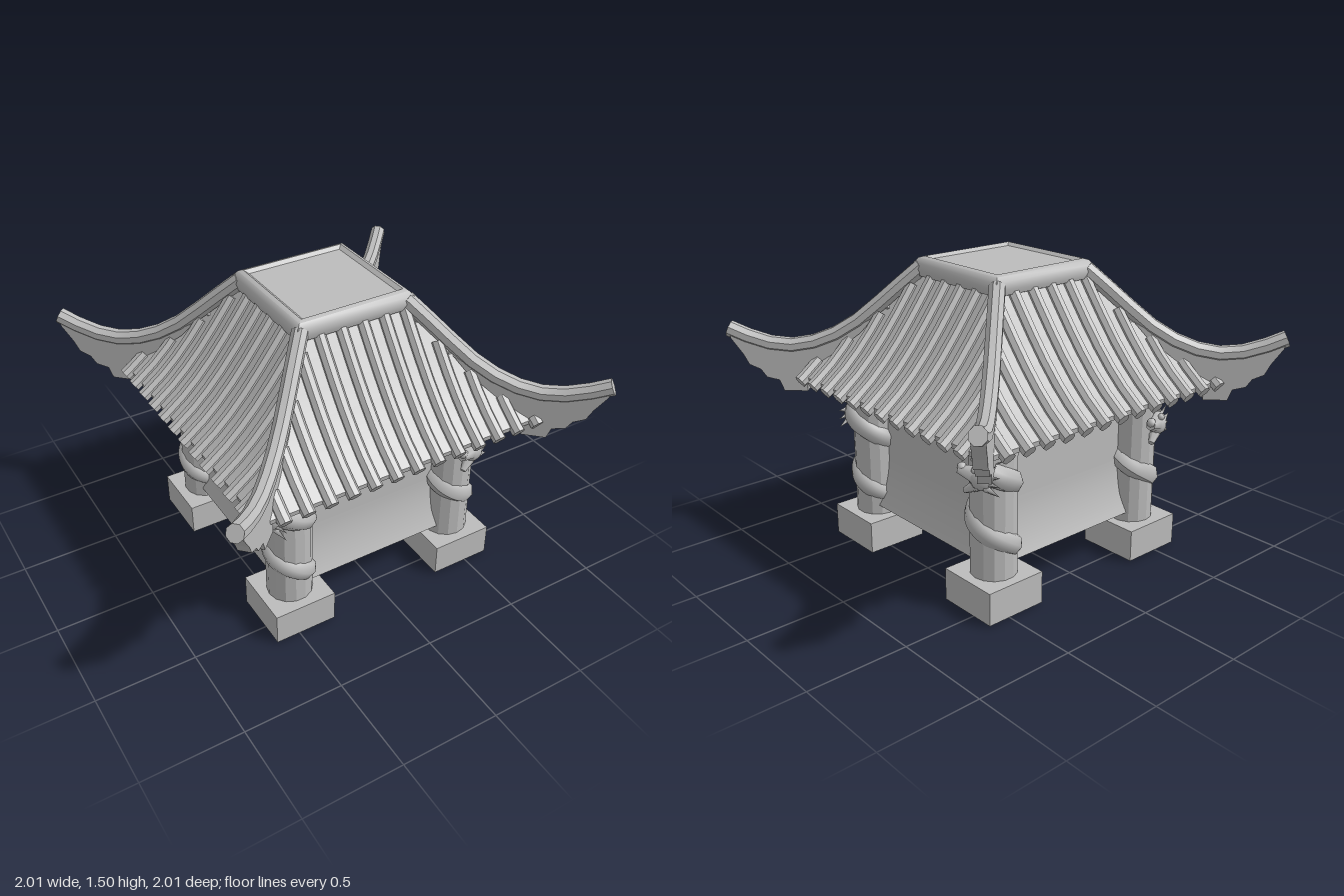
import * as THREE from 'three';
import { toCreasedNormals } from 'three/addons/utils/BufferGeometryUtils.js';

const stone = new THREE.MeshStandardMaterial({ color: 0xbcbcbc, side: THREE.DoubleSide });
stone.name = 'grey stone';
const R2 = Math.SQRT2;

function add(parent, name, geometry, x = 0, y = 0, z = 0) {
  const mesh = new THREE.Mesh(geometry, stone);
  mesh.name = name;
  mesh.position.set(x, y, z);
  parent.add(mesh);
  return mesh;
}

// Square body of revolution from [half width, y] pairs, bottom to top.
function squareLathe(profile) {
  const pts = profile.map(([h, y]) => new THREE.Vector2(h * R2, y));
  return toCreasedNormals(new THREE.LatheGeometry(pts, 4, Math.PI / 4), 0.6);
}

// Sweeps a section [side, up] along a path [outward z, y]; closed at both ends.
function sweep(path, section) {
  const rings = path.map(([z, y], i) => {
    const a = path[Math.max(i - 1, 0)], b = path[Math.min(i + 1, path.length - 1)];
    const len = Math.hypot(b[0] - a[0], b[1] - a[1]);
    const dz = (b[0] - a[0]) / len, dy = (b[1] - a[1]) / len;
    return section.map(([s, u]) => [s, y + u * dz, z - u * dy]);
  });
  const n = section.length, last = rings.length - 1, pos = [];
  const tri = (...corners) => corners.forEach((c) => pos.push(...c));
  for (let i = 0; i < last; i++) {
    for (let j = 0; j < n; j++) {
      const k = (j + 1) % n, A = rings[i], B = rings[i + 1];
      tri(A[j], A[k], B[j]);
      tri(A[k], B[k], B[j]);
    }
  }
  for (let j = 1; j < n - 1; j++) {
    tri(rings[last][0], rings[last][j], rings[last][j + 1]);
    tri(rings[0][0], rings[0][j + 1], rings[0][j]);
  }
  const g = new THREE.BufferGeometry();
  g.setAttribute('position', new THREE.Float32BufferAttribute(pos, 3));
  g.computeVertexNormals();
  return toCreasedNormals(g, 0.7);
}

// Concave roof slope: [distance from centre, y]
const slope = [[0.27, 1.43], [0.34, 1.335], [0.42, 1.23], [0.5, 1.132], [0.58, 1.045], [0.66, 0.97], [0.75, 0.9], [0.78, 0.88]];

function slopeY(h) {
  const i = Math.max(1, slope.findIndex((p) => p[0] >= h));
  const [a, b] = [slope[i - 1], slope[i]];
  return a[1] + ((b[1] - a[1]) * (h - a[0])) / (b[0] - a[0]);
}

// Tile ribs of one roof side, trimmed at the hips
function tileRibs() {
  const side = new THREE.Group();
  side.name = 'tileRibs';
  const section = [[0, -0.038], [0.03, -0.015], [0.03, 0.01], [0.013, 0.03], [-0.013, 0.03], [-0.03, 0.01], [-0.03, -0.015]];
  for (let i = -6; i <= 6; i++) {
    const x = 0.04 + i * 0.1145;
    const start = Math.max(0.28, Math.abs(x) + 0.015);
    const path = [[start, slopeY(start)], ...slope.filter((p) => p[0] > start + 0.015)];
    add(side, 'tileRib', sweep(path, section), x, 0, 0);
  }
  return side;
}

// Upswept hip ridge with a scalloped bracket, built along +z
function hipRidge() {
  const corner = new THREE.Group();
  corner.name = 'hipCorner';
  const path = [[0.28, 1.455], [0.35, 1.37], [0.43, 1.27], [0.51, 1.175], [0.59, 1.105], [0.67, 1.06],
    [0.75, 1.04], [0.83, 1.05], [0.91, 1.085], [0.975, 1.125]].map(([x, y]) => [x * R2, y]);
  const section = [];
  for (let i = 0; i < 8; i++) {
    const a = ((i + 0.5) * Math.PI) / 4;
    section.push([0.04 * Math.cos(a), 0.042 * Math.sin(a)]);
  }
  add(corner, 'hipRidge', sweep(path, section));

  // web under the ridge, running out into the bracket
  const outline = [[0.45, 1.2], [0.5, 1.12], [0.6, 1.01], [0.7, 0.92], [0.7, 0.81], [0.785, 0.81],
    [0.8, 0.865], [0.845, 0.88], [0.865, 0.92], [0.905, 0.945], [0.925, 1.0], [0.965, 1.08], [0.97, 1.11],
    [0.9, 1.075], [0.75, 1.03], [0.6, 1.09]];
  const shape = new THREE.Shape(outline.map(([x, y]) => new THREE.Vector2(x * R2, y)));
  const bracket = new THREE.ExtrudeGeometry(shape, { depth: 0.06, bevelEnabled: false });
  bracket.translate(0, 0, -0.03).rotateY(-Math.PI / 2);
  add(corner, 'eaveBracket', bracket);
  return corner;
}

// Coiled dragon body: a tube that thins toward the tail
function coil() {
  const pts = [];
  for (let deg = -210; deg <= 410; deg += 20) {
    const a = (deg * Math.PI) / 180;
    const lift = Math.max(0, (deg - 320) / 80) * 0.02;
    pts.push(new THREE.Vector3((0.078 + lift) * Math.cos(a), 0.35 + (deg / 90) * 0.078, (0.078 + lift) * Math.sin(a)));
  }
  const curve = new THREE.CatmullRomCurve3(pts);
  const g = new THREE.TubeGeometry(curve, 90, 0.058, 8);
  const p = g.attributes.position, v = new THREE.Vector3();
  for (let i = 0; i < p.count; i++) {
    const t = Math.floor(i / 9) / 90;
    const c = curve.getPointAt(t);
    v.fromBufferAttribute(p, i).sub(c).multiplyScalar(Math.min(1, 0.45 + t * 2)).add(c);
    p.setXYZ(i, v.x, v.y, v.z);
  }
  g.computeVertexNormals();
  return g;
}

// Dragon head: +z is forward, +x faces away from the column
function dragonHead() {
  const head = new THREE.Group();
  head.name = 'dragonHead';
  add(head, 'skull', new THREE.SphereGeometry(0.06, 10, 7)).scale.set(0.85, 1, 1.1);
  const snout = new THREE.CylinderGeometry(0.024, 0.048, 0.1, 6).rotateX(Math.PI / 2);
  add(head, 'snout', snout, 0, 0.015, 0.065).rotation.x = -0.2;
  add(head, 'nose', new THREE.SphereGeometry(0.024, 8, 6), 0, 0.035, 0.1);
  const jaw = new THREE.CylinderGeometry(0.014, 0.036, 0.1, 6).rotateX(Math.PI / 2);
  add(head, 'jaw', jaw, 0, -0.05, 0.045).rotation.x = 0.55;
  for (const s of [-1, 1]) {
    add(head, 'brow', new THREE.SphereGeometry(0.018, 6, 5), s * 0.028, 0.045, 0.025);
    const horn = add(head, 'horn', new THREE.ConeGeometry(0.012, 0.09, 5), s * 0.022, 0.06, -0.045);
    horn.rotation.set(-1.1, 0, -s * 0.15);
    for (let i = 0; i < 3; i++) {
      const tuft = add(head, 'mane', new THREE.ConeGeometry(0.02, 0.08, 4), s * 0.028, 0.02 - i * 0.035, -0.06);
      tuft.rotation.set(-1.4 - i * 0.25, 0, -s * 0.15);
    }
  }
  return head;
}

// Column on its block with capital and dragon
function column() {
  const c = new THREE.Group();
  c.name = 'column';
  add(c, 'baseBlock', new THREE.BoxGeometry(0.32, 0.163, 0.32), 0, 0.0885, 0);
  add(c, 'foot', new THREE.CylinderGeometry(0.115, 0.115, 0.02, 20), 0, 0.01, 0);
  add(c, 'shaft', toCreasedNormals(new THREE.CylinderGeometry(0.113, 0.113, 0.66, 14), 0.3), 0, 0.5, 0);
  const cap = [[0.1, 0.8], [0.13, 0.803], [0.133, 0.833], [0.15, 0.84], [0.155, 0.87], [0, 0.875]];
  const capGeo = new THREE.LatheGeometry(cap.map(([r, y]) => new THREE.Vector2(r, y)), 12);
  add(c, 'capital', toCreasedNormals(capGeo, 0.4));
  add(c, 'dragonCoil', coil());
  const head = dragonHead();
  const a = (64 * Math.PI) / 180;
  head.position.set(0.118 * Math.cos(a), 0.685, 0.118 * Math.sin(a));
  head.rotation.y = -a;
  c.add(head);
  return c;
}

// Lower panel between two columns, curving outward at the hem
function hemPanel() {
  const g = new THREE.PlaneGeometry(0.74, 0.28, 1, 10).translate(0, 0.36, 0);
  const p = g.attributes.position;
  for (let i = 0; i < p.count; i++) {
    const t = (0.5 - p.getY(i)) / 0.28;
    p.setZ(i, 0.465 + 0.06 * t * t);
  }
  g.computeVertexNormals();
  return g;
}

export function createModel() {
  const model = new THREE.Group();
  model.name = 'pavilion';

  // Walls rise into the hollow roof shell, which carries a rimmed top
  add(model, 'wall', squareLathe([[0.465, 0.5], [0.465, 1.165]]));
  add(model, 'roof', squareLathe([[0.745, 0.875], ...slope.slice(0, 7).reverse()]));
  add(model, 'roofCrown', squareLathe([[0.27, 1.4], [0.305, 1.412], [0.316, 1.445], [0.308, 1.475], [0.29, 1.498], [0.27, 1.505], [0.25, 1.49], [0, 1.49]]));

  // Four-fold turning parts
  for (let i = 0; i < 4; i++) {
    const quarter = new THREE.Group();
    quarter.name = 'quarter';
    quarter.rotation.y = (i * Math.PI) / 2;
    add(quarter, 'hemPanel', hemPanel());
    const hip = hipRidge();
    hip.rotation.y = Math.PI / 4;
    const post = column();
    post.position.set(0.465, 0, 0.465);
    quarter.add(tileRibs(), hip, post);
    model.add(quarter);
  }
  return model;
}
